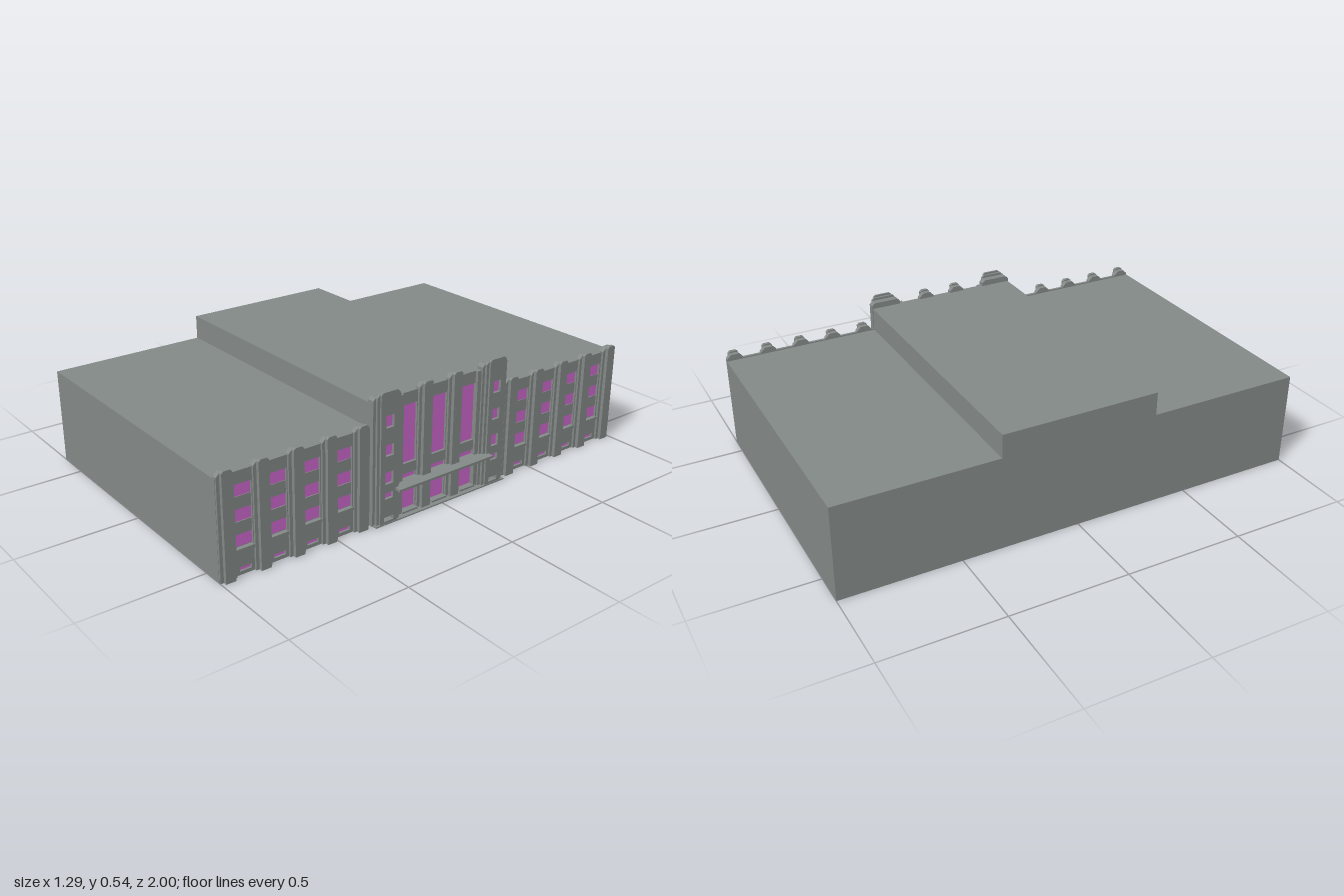
import * as THREE from 'three';

export function createModel() {
  const model = new THREE.Group();
  const stone = new THREE.MeshStandardMaterial({ color: 0x848a88, side: THREE.DoubleSide });
  stone.name = 'grey stone';
  const glass = new THREE.MeshStandardMaterial({ color: 0xcf68cf, side: THREE.DoubleSide });
  glass.name = 'pink glass';

  function add(parent, name, geometry, material = stone) {
    const mesh = new THREE.Mesh(geometry, material);
    mesh.name = name;
    parent.add(mesh);
    return mesh;
  }

  // Block without an underside
  function openBlock(name, x0, x1, y0, y1, width) {
    const g = new THREE.BoxGeometry(x1 - x0, y1 - y0, width);
    const index = Array.from(g.index.array);
    index.splice(18, 6);
    g.setIndex(index);
    g.clearGroups();
    g.translate((x0 + x1) / 2, (y0 + y1) / 2, 0);
    add(model, name, g);
  }
  openBlock('mainHall', -0.643, 0.57, 0, 0.4, 2);
  openBlock('raisedRoof', -0.645, 0.57, 0.4, 0.5, 0.67);

  // Street facade: local x runs along the wall, local z points outwards
  const facade = new THREE.Group();
  facade.name = 'facade';
  facade.rotation.y = Math.PI / 2;
  facade.position.x = 0.57;
  model.add(facade);

  function box(name, u, width, y0, y1, d0, d1, material) {
    const g = new THREE.BoxGeometry(width, y1 - y0, d1 - d0);
    g.translate(u, (y0 + y1) / 2, (d0 + d1) / 2);
    return add(facade, name, g, material);
  }

  // Wall slab with rectangular openings given as [centre, width, bottom, top]
  function wall(name, u0, u1, y0, y1, d0, d1, openings) {
    const s = new THREE.Shape();
    s.moveTo(u0, y0).lineTo(u1, y0).lineTo(u1, y1).lineTo(u0, y1).closePath();
    for (const [u, w, b, t] of openings) {
      const h = new THREE.Path();
      h.moveTo(u - w / 2, b).lineTo(u - w / 2, t).lineTo(u + w / 2, t).lineTo(u + w / 2, b).closePath();
      s.holes.push(h);
    }
    const g = new THREE.ExtrudeGeometry(s, { depth: d1 - d0, bevelEnabled: false });
    g.translate(0, 0, d0);
    add(facade, name, g);
  }

  // Upright slab with clipped top corners
  function pier(name, u, width, y1, d0, d1, clip, openings = []) {
    const w = width / 2;
    const s = new THREE.Shape();
    s.moveTo(u - w, 0).lineTo(u + w, 0).lineTo(u + w, y1 - clip).lineTo(u + w - clip, y1);
    s.lineTo(u - w + clip, y1).lineTo(u - w, y1 - clip).closePath();
    for (const [c, ow, b, t] of openings) {
      const h = new THREE.Path();
      h.moveTo(c - ow / 2, b).lineTo(c - ow / 2, t).lineTo(c + ow / 2, t).lineTo(c + ow / 2, b).closePath();
      s.holes.push(h);
    }
    const g = new THREE.ExtrudeGeometry(s, { depth: d1 - d0, bevelEnabled: false });
    g.translate(0, 0, d0);
    add(facade, name, g);
  }

  function buttress(u, height) {
    pier('buttressBack', u, 0.068, height - 0.006, 0, 0.021, 0.018);
    pier('buttressFront', u, 0.042, height, 0.021, 0.036, 0.008);
  }

  for (const side of [-1, 1]) {
    // Wing: four window bays between five buttresses
    const bays = [0.89, 0.745, 0.6, 0.455].map(u => u * side);
    const openings = bays.flatMap(u => [[u, 0.07, 0.1, 0.355], [u, 0.05, 0.014, 0.03]]);
    const edges = [0.335 * side, side].sort((a, b) => a - b);
    wall('wingWall', edges[0], edges[1], 0, 0.405, 0, 0.012, openings);
    for (const u of bays) {
      for (const y of [0.11, 0.208, 0.305]) box('wingWindow', u, 0.07, y, y + 0.048, 0, 0.003, glass);
      for (const y of [0.158, 0.256]) box('spandrel', u, 0.07, y, y + 0.049, 0, 0.006);
      box('basementWindow', u, 0.05, 0.014, 0.03, 0, 0.003, glass);
      box('windowSill', u, 0.078, 0.093, 0.106, 0, 0.018);
    }
    for (const u of [0.965, 0.818, 0.672, 0.527, 0.382]) buttress(u * side, 0.432);

    // Stair tower in stepped layers
    const c = 0.272 * side;
    const rows = [[0.4, 0.45], [0.285, 0.332], [0.17, 0.22], [0.108, 0.135]];
    const slots = rows.map(([b, t]) => [c, 0.038, b, t]);
    slots.push([c, 0.045, 0.014, 0.032]);
    pier('towerBack', c, 0.132, 0.525, 0, 0.03, 0.012, slots);
    pier('towerMiddle', c, 0.108, 0.535, 0.03, 0.04, 0.01, slots);
    pier('towerFront', c, 0.084, 0.543, 0.04, 0.048, 0.008, slots);
    for (const [b, t] of rows) box('towerWindow', c, 0.038, b, t, 0.03, 0.036, glass);
  }

  // Central entrance wall with three tall glazed bays
  const doors = [-0.15, 0, 0.15];
  wall('entranceWall', -0.206, 0.206, 0, 0.5, 0, 0.012, doors.map(u => [u, 0.076, 0.01, 0.45]));
  for (const u of doors) {
    box('tallWindow', u, 0.076, 0.208, 0.45, 0, 0.003, glass);
    box('doorLintel', u, 0.082, 0.165, 0.208, 0, 0.014);
    box('entranceDoor', u, 0.076, 0.012, 0.165, 0, 0.003, glass);
    box('doorStep', u, 0.076, 0, 0.012, 0, 0.03);
  }
  for (const u of [-0.075, 0.075]) buttress(u, 0.53);
  for (const u of [-0.197, 0.197]) box('entrancePilaster', u, 0.02, 0, 0.5, 0.012, 0.024);

  // Canopy and ground slab
  box('entranceCanopy', 0, 0.485, 0.134, 0.144, 0.005, 0.075);
  box('entrancePlinth', 0, 0.67, 0, 0.005, 0, 0.05);

  return model;
}
